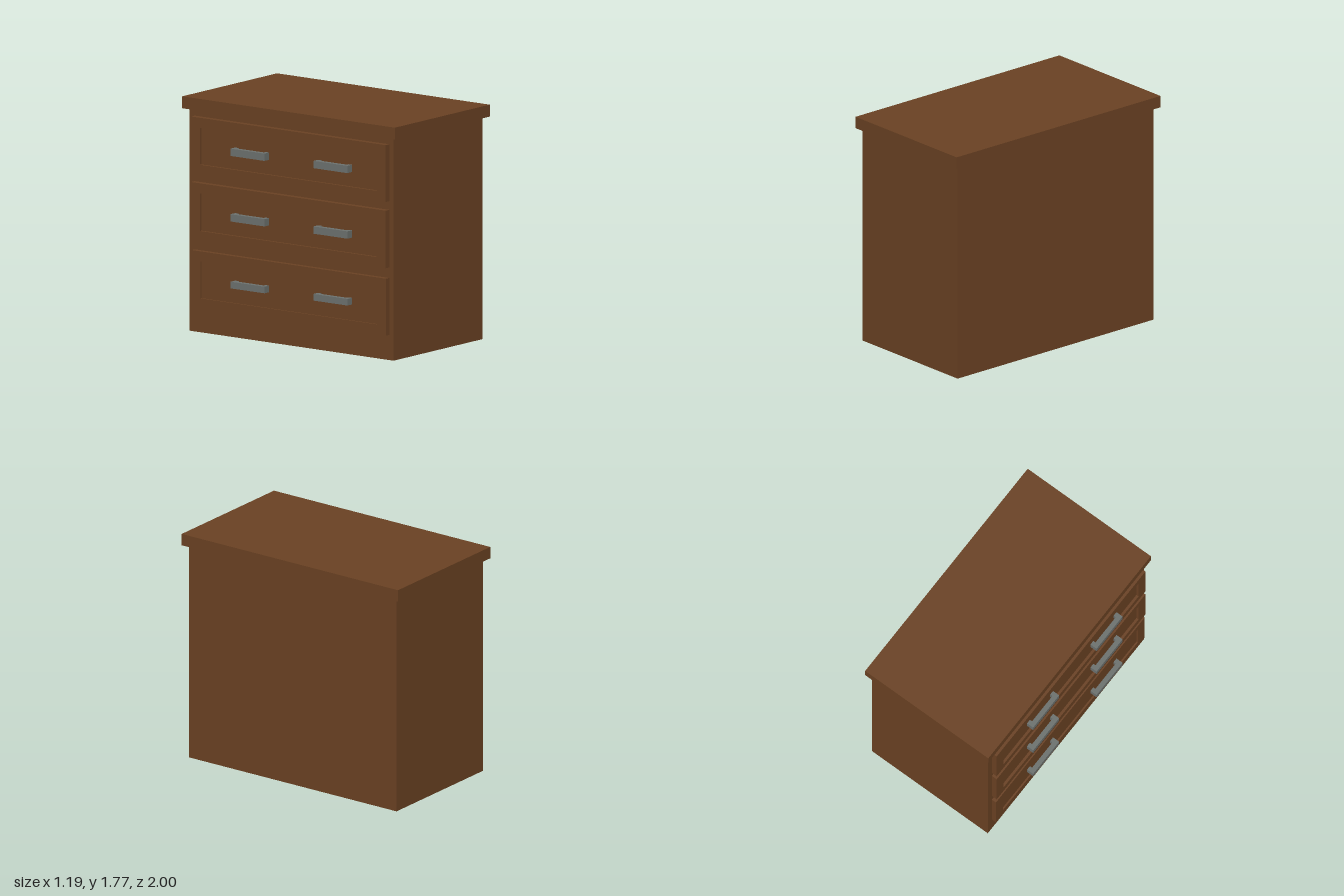
import * as THREE from 'three';

const wood = new THREE.MeshStandardMaterial({ color: 0x6b4223 });
wood.name = 'brown wood';
const metal = new THREE.MeshStandardMaterial({ color: 0x6d726f });
metal.name = 'grey metal';

// Box given by its minimum and maximum corners
function box(name, material, [x0, y0, z0], [x1, y1, z1]) {
  const mesh = new THREE.Mesh(new THREE.BoxGeometry(x1 - x0, y1 - y0, z1 - z0), material);
  mesh.position.set((x0 + x1) / 2, (y0 + y1) / 2, (z0 + z1) / 2);
  mesh.name = name;
  return mesh;
}

const BODY_X = -0.515;  // cabinet face that carries the drawers
const PANEL_X = -0.54;  // sunken centre of each drawer front

// Drawer front: a rectangular frame around a sunken panel
function drawer(y0, y1, faceX) {
  const group = new THREE.Group();
  group.name = 'drawer';
  const z0 = -0.91, z1 = 0.92, side = 0.085, rail = 0.075;
  const outline = new THREE.Shape();
  outline.moveTo(z0, y0).lineTo(z1, y0).lineTo(z1, y1).lineTo(z0, y1).closePath();
  const opening = new THREE.Path();
  opening.moveTo(z0 + side, y0 + rail).lineTo(z0 + side, y1 - rail)
    .lineTo(z1 - side, y1 - rail).lineTo(z1 - side, y0 + rail).closePath();
  outline.holes.push(opening);
  const geometry = new THREE.ExtrudeGeometry(outline, { depth: BODY_X - faceX, bevelEnabled: false });
  // Shape x runs along z, extrusion runs towards -x
  geometry.rotateY(-Math.PI / 2);
  const frame = new THREE.Mesh(geometry, wood);
  frame.position.x = BODY_X;
  frame.name = 'drawerFrame';
  group.add(frame);
  group.add(box('drawerPanel', wood,
    [PANEL_X, y0 + rail, z0 + side], [BODY_X, y1 - rail, z1 - side]));
  return group;
}

// Handle: square bar standing off on two posts
function handle(y0, y1, z0, z1) {
  const group = new THREE.Group();
  group.name = 'handle';
  const barBack = -0.56, post = 0.035;
  group.add(box('handleBar', metal, [-0.597, y0, z0], [barBack, y1, z1]));
  for (const z of [z0, z1 - post]) {
    group.add(box('handlePost', metal, [barBack, y0, z], [PANEL_X, y1, z + post]));
  }
  return group;
}

export function createModel() {
  const model = new THREE.Group();
  model.name = 'chestOfDrawers';
  model.add(box('cabinetBody', wood, [BODY_X, 0, -0.96], [0.56, 1.68, 0.96]));
  model.add(box('topSlab', wood, [-0.55, 1.68, -1], [0.595, 1.77, 1]));

  // Three drawers: bottom, top, face depth, handle bottom and top
  const rows = [
    [0.19, 0.62, -0.553, 0.385, 0.435],
    [0.70, 1.135, -0.56, 0.89, 0.945],
    [1.20, 1.63, -0.56, 1.385, 1.44],
  ];
  for (const [y0, y1, faceX, h0, h1] of rows) {
    model.add(drawer(y0, y1, faceX));
    model.add(handle(h0, h1, -0.51, -0.19));
    model.add(handle(h0, h1, 0.27, 0.59));
  }
  return model;
}
